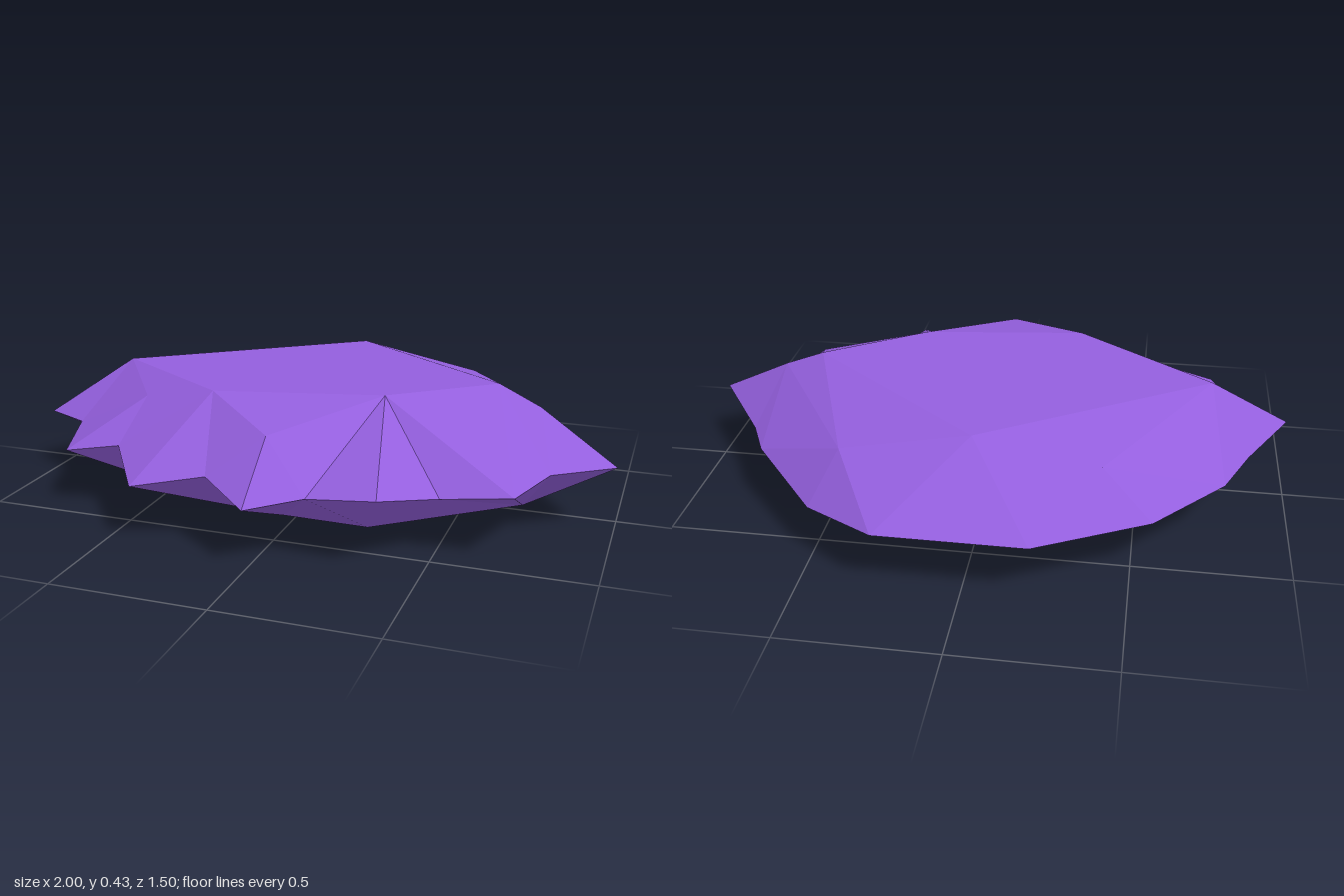
import * as THREE from 'three';

// Inner rings run counter-clockwise seen from above, starting at the front
const topRing = [
  [0, 0.36, 0.55], [0.28, 0.425, 0.235], [0.6, 0.43, 0], [0.74, 0.37, 0.02], [0.42, 0.335, -0.48],
  [0, 0.415, -0.48], [-0.4, 0.35, -0.5], [-0.73, 0.405, 0.01], [-0.55, 0.35, 0.25], [-0.27, 0.415, 0.33],
];
const bottomRing = [
  [-0.04, 0, 0.3], [0.31, 0.09, 0.51], [0.7, 0.03, 0.03],
  [0.07, 0.008, -0.45], [-0.69, 0.015, -0.08], [-0.33, 0.01, 0.26],
];

// Jagged rim: x, y, z, then the top and bottom ring point that the next rim edge leans to
const rim = [
  [0, 0.195, 0.75, 0, 0], [0.155, 0.21, 0.64, 1, 1], [0.38, 0.24, 0.665, 1, 1],
  [0.52, 0.195, 0.475, 1, 2], [0.74, 0.22, 0.465, 2, 2], [0.81, 0.22, 0.235, 3, 2],
  [1, 0.222, 0.105, 3, 2], [0.8, 0.22, -0.19, 3, 2], [0.74, 0.21, -0.31, 4, 2],
  [0.5, 0.18, -0.59, 4, 3], [0.26, 0.21, -0.755, 5, 3], [-0.21, 0.21, -0.755, 6, 3],
  [-0.56, 0.2, -0.555, 6, 4], [-0.78, 0.2, -0.305, 7, 4], [-0.86, 0.21, -0.13, 7, 4],
  [-1, 0.215, 0.13, 7, 4], [-0.83, 0.22, 0.22, 8, 4], [-0.75, 0.2, 0.46, 8, 5],
  [-0.55, 0.24, 0.465, 9, 5], [-0.4, 0.195, 0.68, 9, 0], [-0.17, 0.235, 0.625, 0, 0],
];

// Facets between the rim and an inner ring, closed by the cap triangles
function shell(ring, column, caps, flip) {
  const positions = [];
  const tri = (a, b, c) => {
    for (const p of flip ? [a, c, b] : [a, b, c]) positions.push(p[0], p[1], p[2]);
  };
  rim.forEach((point, i) => {
    const next = rim[(i + 1) % rim.length];
    const end = next[column];
    tri(point, next, ring[point[column]]);
    for (let k = point[column]; k !== end; k = (k + 1) % ring.length) {
      tri(next, ring[(k + 1) % ring.length], ring[k]);
    }
  });
  caps.forEach(([a, b, c]) => tri(ring[a], ring[b], ring[c]));
  const geometry = new THREE.BufferGeometry();
  geometry.setAttribute('position', new THREE.Float32BufferAttribute(positions, 3));
  geometry.computeVertexNormals();
  return geometry;
}

export function createModel() {
  const group = new THREE.Group();
  group.name = 'facetedStone';
  const purple = new THREE.MeshStandardMaterial({ color: 0x945fde, flatShading: true });
  purple.name = 'purple';

  const add = (name, geometry) => {
    const mesh = new THREE.Mesh(geometry, purple);
    mesh.name = name;
    group.add(mesh);
  };
  // Upper half: broad flat top with sloping facets
  add('upperFacets', shell(topRing, 3,
    [[0, 1, 9], [2, 3, 4], [2, 4, 5], [5, 6, 7], [7, 8, 9], [9, 1, 7], [1, 2, 7], [2, 5, 7]], false));
  // Lower half: narrower base
  add('lowerFacets', shell(bottomRing, 4, [[0, 1, 2], [0, 2, 3], [0, 3, 4], [0, 4, 5]], true));
  return group;
}
